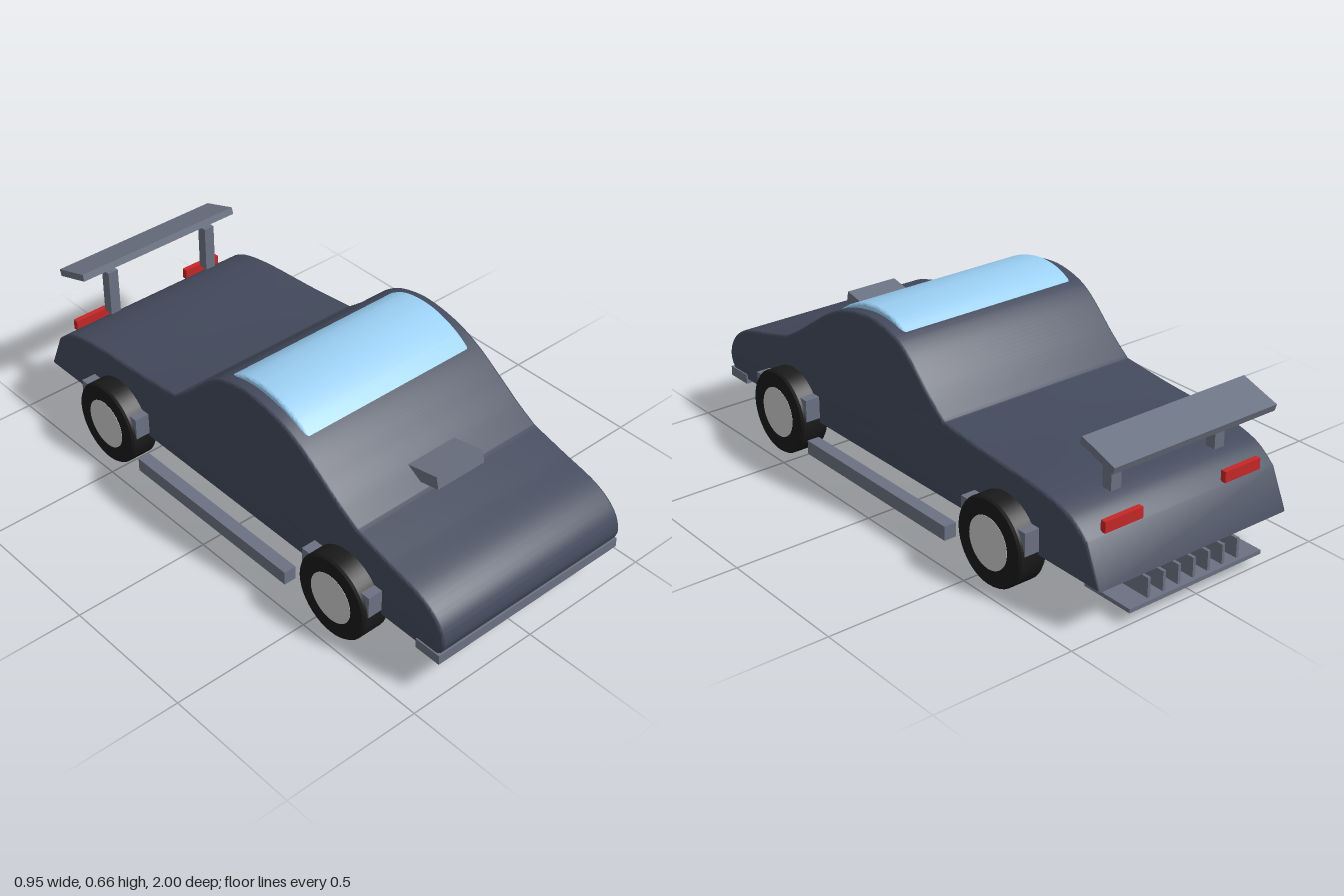
import * as THREE from 'three';
import { toCreasedNormals } from 'three/addons/utils/BufferGeometryUtils.js';

const mat = (color) => new THREE.MeshStandardMaterial({ color });

export function createModel() {
  const car = new THREE.Group();
  car.name = 'car';
  const paint = mat(0x434a5c), trim = mat(0x6b7282), rubber = mat(0x1a1a1a);
  const rim = mat(0xcccccc), glass = mat(0x9bd0f5), red = mat(0xc62828);

  const add = (name, geometry, material, x = 0, y = 0, z = 0) => {
    const mesh = new THREE.Mesh(geometry, material);
    mesh.name = name;
    mesh.position.set(x, y, z);
    car.add(mesh);
    return mesh;
  };
  const box = (name, size, pos, material = trim) =>
    add(name, new THREE.BoxGeometry(...size), material, ...pos);

  // Side profile (z, y) swept across the car, with softened edges
  const sweep = (shape, width, bevel) => {
    const geometry = new THREE.ExtrudeGeometry(shape, {
      depth: width - 2 * bevel, bevelEnabled: true, bevelThickness: bevel,
      bevelSize: bevel, bevelOffset: -bevel, bevelSegments: 3, curveSegments: 10,
    });
    geometry.translate(0, 0, -width / 2 + bevel).rotateY(-Math.PI / 2);
    return toCreasedNormals(geometry, 0.6);
  };
  const spline = (shape, points) => shape.splineThru(points.map((p) => new THREE.Vector2(...p)));

  // Body: nose, cabin hump, rear deck, sloped tail
  const body = new THREE.Shape();
  body.moveTo(-0.99, 0.148);
  body.lineTo(0.92, 0.14);
  spline(body, [[0.975, 0.155], [1.0, 0.21], [0.97, 0.28], [0.89, 0.335], [0.75, 0.373], [0.62, 0.408]]);
  spline(body, [[0.54, 0.455], [0.46, 0.51], [0.355, 0.578], [0.25, 0.622], [0.12, 0.642],
    [0.01, 0.625], [-0.07, 0.583], [-0.18, 0.48], [-0.26, 0.415]]);
  spline(body, [[-0.45, 0.395], [-0.71, 0.375], [-0.85, 0.343], [-0.93, 0.285]]);
  body.closePath();
  add('body', sweep(body, 0.78, 0.01), paint);

  // Curved windshield wrapping over the roof
  const screen = new THREE.Shape();
  screen.moveTo(0.39, 0.55);
  spline(screen, [[0.3, 0.614], [0.21, 0.65], [0.125, 0.66], [0.04, 0.645], [-0.04, 0.598]]);
  screen.closePath();
  add('windshield', sweep(screen, 0.7, 0.01), glass);

  // Hood scoop and front splitter
  box('hoodScoop', [0.2, 0.045, 0.13], [0, 0.447, 0.602]).rotation.x = -0.2;
  box('frontSplitter', [0.79, 0.035, 0.1], [0, 0.145, 0.94]);

  // Wheels, each with an arch block behind it
  const tyre = new THREE.LatheGeometry(
    [[0.085, -0.053], [0.144, -0.053], [0.15, -0.045], [0.15, 0.045], [0.144, 0.053], [0.085, 0.053]]
      .map((p) => new THREE.Vector2(...p)), 40).rotateZ(Math.PI / 2);
  const tyreGeometry = toCreasedNormals(tyre, 0.6);
  const hub = new THREE.CylinderGeometry(0.09, 0.09, 0.108, 32).rotateZ(Math.PI / 2);
  for (const side of [-1, 1]) {
    for (const [end, z] of [['front', 0.583], ['rear', -0.57]]) {
      add(end + 'Tyre', tyreGeometry, rubber, side * 0.408, 0.152, z);
      add(end + 'Hub', hub, rim, side * 0.408, 0.152, z);
      box(end + 'ArchBlock', [0.1, 0.08, 0.305], [side * 0.394, 0.205, z]);
    }
    // Side skirts, tail lights and wing posts
    box('sideSkirt', [0.045, 0.05, 0.755], [side * 0.452, 0.1, 0.005]);
    box('tailLight', [0.15, 0.038, 0.02], [side * 0.245, 0.313, -0.923], red);
    box('wingPost', [0.04, 0.17, 0.038], [side * 0.213, 0.457, -0.84]);
  }

  // Rear wing
  box('wing', [0.66, 0.025, 0.148], [0, 0.539, -0.901]).rotation.x = -0.32;

  // Diffuser plate with upright fins
  box('diffuserPlate', [0.55, 0.014, 0.2], [0, 0.047, -0.9]);
  for (let i = -3; i <= 3; i++) {
    box('diffuserFin', [0.011, 0.07, 0.18], [i * 0.062, 0.087, -0.896]);
  }
  return car;
}
